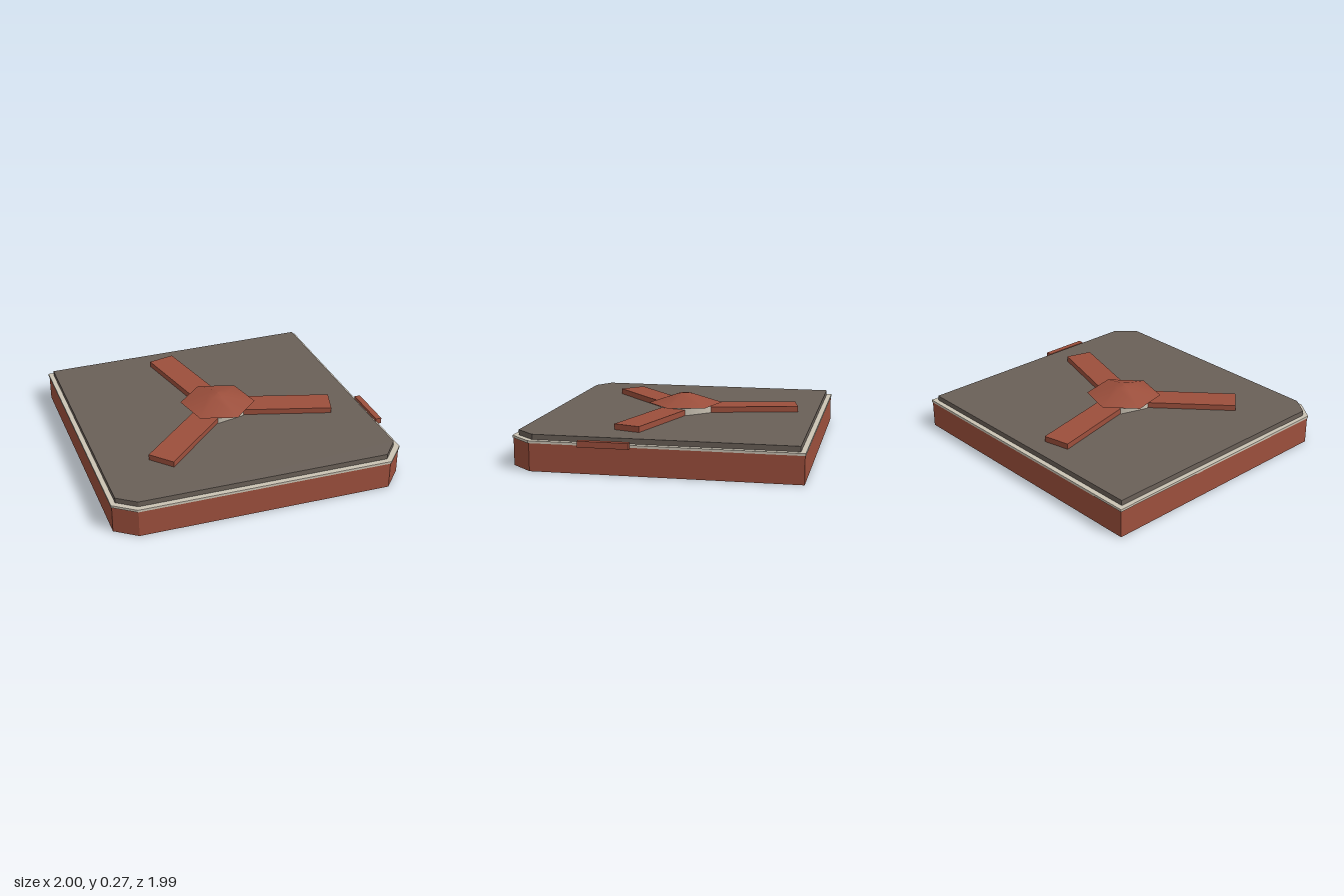
import * as THREE from 'three';

const mat = (name, color) => {
  const m = new THREE.MeshStandardMaterial({ color });
  m.name = name;
  return m;
};

export function createModel() {
  const brick = mat('brick red', 0x9c4f3c);
  const slate = mat('slate grey', 0x6a6058);
  const stone = mat('pale stone', 0xcbc3b4);
  const group = new THREE.Group();

  const add = (name, geometry, material, parent = group) => {
    const mesh = new THREE.Mesh(geometry, material);
    mesh.name = name;
    parent.add(mesh);
    return mesh;
  };

  // Horizontal slab from an outline of [x, z] corners
  const slab = (points, y0, y1) => {
    const shape = new THREE.Shape(points.map(([x, z]) => new THREE.Vector2(x, -z)));
    return new THREE.ExtrudeGeometry(shape, { depth: y1 - y0, bevelEnabled: false })
      .rotateX(-Math.PI / 2).translate(0, y0, 0);
  };

  // Diamond plan with two clipped corners
  const outline = [[0.01, -1], [0.983, -0.105], [0.997, 0.047], [0.107, 0.967], [-0.023, 0.993], [-1, 0.09]];
  const inner = [[0.01, -0.963], [0.955, -0.093], [0.969, 0.035], [0.094, 0.942], [-0.018, 0.965], [-0.964, 0.09]];
  add('base', slab(outline.map(([x, z]) => [x * 0.995, z * 0.995]), 0, 0.138), brick);
  add('trim', slab(outline, 0.138, 0.15), stone);
  add('deck', slab(inner, 0.15, 0.176), slate);

  // Rotor: three blades round a hexagonal hub
  const rotor = new THREE.Group();
  rotor.name = 'rotor';
  rotor.position.set(0.028, 0, 0.027);
  group.add(rotor);
  for (let i = 0; i < 3; i++) {
    const blade = new THREE.BoxGeometry(0.14, 0.029, 0.588).translate(0, 0.1905, 0.294);
    add('blade', blade, brick, rotor).rotation.y = (i * Math.PI * 2) / 3;
  }
  add('hub', new THREE.CylinderGeometry(0.152, 0.152, 0.042, 6).rotateY(Math.PI / 6)
    .translate(0, 0.197, 0), stone, rotor);

  // Blunt six-sided cap with a flat underside
  const profile = [[0.193, 0.217], [0.045, 0.264], [0, 0.27]].map(([r, y]) => new THREE.Vector2(r, y));
  add('cap', new THREE.LatheGeometry(profile, 6), brick, rotor);
  add('capUnderside', new THREE.CircleGeometry(0.193, 6).rotateX(Math.PI / 2).rotateY(Math.PI / 6)
    .translate(0, 0.217, 0), brick, rotor);

  // Small ledge on the back left edge
  const ledge = add('ledge', new THREE.BoxGeometry(0.25, 0.03, 0.03), brick);
  ledge.position.set(0.715, 0.15, -0.367);
  ledge.rotation.y = -0.743;

  return group;
}
